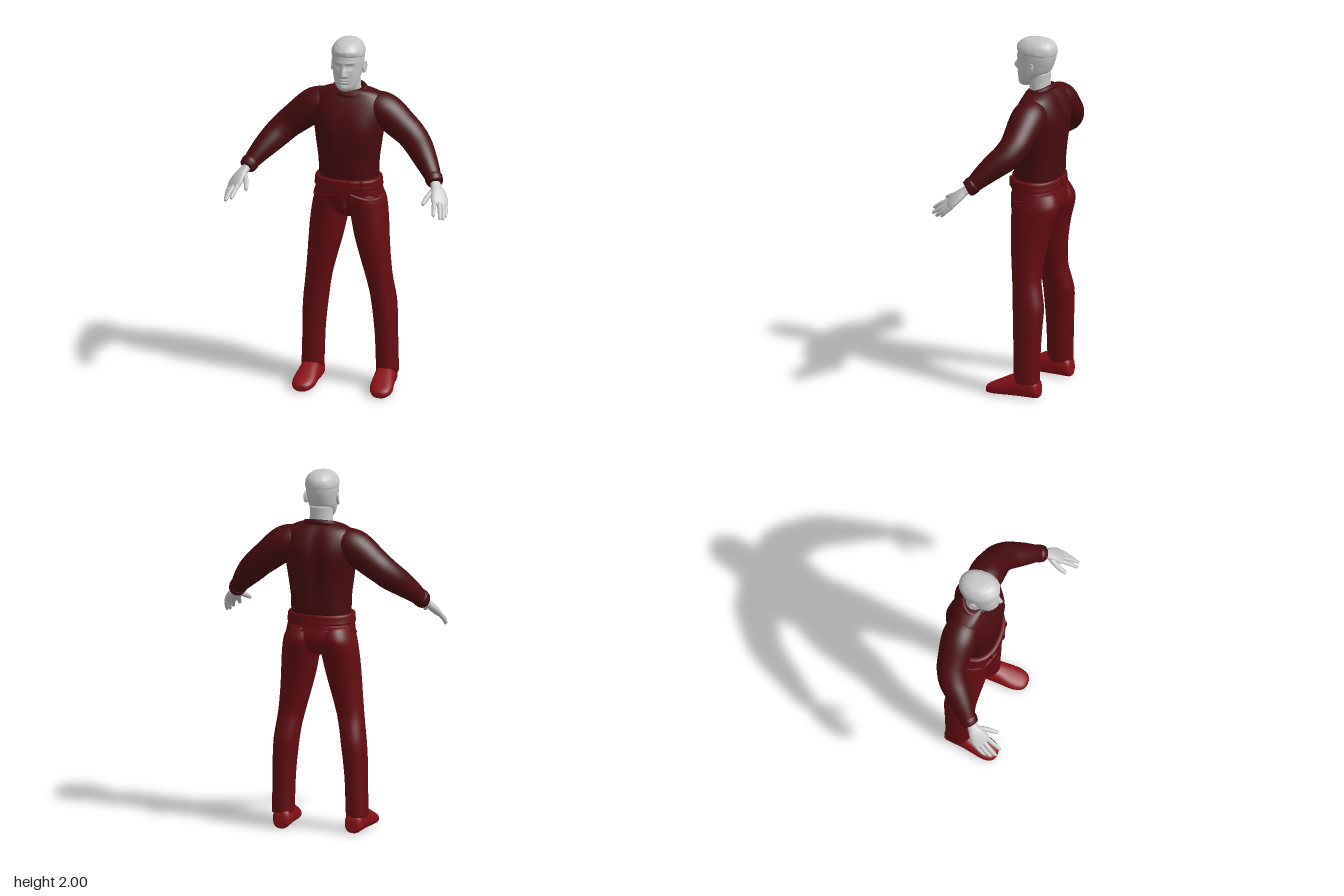
import * as THREE from 'three';

const V = (x, y, z) => new THREE.Vector3(x, y, z);
const X = V(1, 0, 0), Y = V(0, 1, 0), Z = V(0, 0, 1);

const material = (name, color) => {
  const m = new THREE.MeshStandardMaterial({ color });
  m.name = name;
  return m;
};

// Catmull-Rom interpolation of every column in a list of rows
function refine(rows, k) {
  const out = [];
  for (let i = 0; i < rows.length - 1; i++) {
    const a = rows[Math.max(i - 1, 0)], b = rows[i], c = rows[i + 1], d = rows[Math.min(i + 2, rows.length - 1)];
    for (let j = 0; j < k; j++) {
      const t = j / k;
      out.push(b.map((_, n) => b[n] + 0.5 * t * (c[n] - a[n]
        + t * (2 * a[n] - 5 * b[n] + 4 * c[n] - d[n] + t * (3 * (b[n] - c[n]) + d[n] - a[n])))));
    }
  }
  out.push(rows[rows.length - 1]);
  return out;
}

// Closed skin through rings [x, y, z, radiusU, radiusV]; w fixes the ring normal, else it follows the path
function loft(rows, { w = null, u = X, n = 32, k = 4, p = 2, warp = null } = {}) {
  const r = refine(rows, k);
  const first = r[0], last = r[r.length - 1];
  const rings = [[...first.slice(0, 3), 0, 0], ...r, [...last.slice(0, 3), 0, 0]];
  const pos = [], idx = [];
  const pow = (t) => Math.sign(t) * Math.abs(t) ** (2 / p);
  rings.forEach((q, i) => {
    const m = Math.min(Math.max(i - 1, 0), r.length - 1);
    const a = r[Math.max(m - 1, 0)], b = r[Math.min(m + 1, r.length - 1)];
    const dir = w ? w.clone() : V(b[0] - a[0], b[1] - a[1], b[2] - a[2]).normalize();
    const uu = u.clone().addScaledVector(dir, -u.dot(dir)).normalize();
    const vv = dir.clone().cross(uu);
    for (let j = 0; j < n; j++) {
      const t = j / n * Math.PI * 2;
      const pt = V(q[0], q[1], q[2]).addScaledVector(uu, q[3] * pow(Math.cos(t))).addScaledVector(vv, q[4] * pow(Math.sin(t)));
      if (warp) warp(pt);
      pos.push(pt.x, pt.y, pt.z);
      if (i < rings.length - 1) {
        const c = i * n + j, d = i * n + (j + 1) % n;
        idx.push(c, d, d + n, c, d + n, c + n);
      }
    }
  });
  const g = new THREE.BufferGeometry();
  g.setAttribute('position', new THREE.Float32BufferAttribute(pos, 3));
  g.setIndex(idx);
  g.computeVertexNormals();
  return g;
}

// Level rings given as [y, centreX, halfWidth, frontZ, backZ], bottom to top
const level = (rows, opts = {}, s = 1) =>
  loft(rows.map(([y, x, rx, f, b]) => [s * x, y, (f + b) / 2, rx, (f - b) / 2]), { w: Y, ...opts });

const bump = (x, y, sx, sy) => Math.exp(-((x / sx) ** 2) - (y / sy) ** 2);

// Facial relief: nose, sockets, eyes, brow, lips, chin
function shapeFace(p) {
  if (p.z < -0.06) return;
  const x = Math.abs(p.x), y = p.y;
  const front = Math.min(1, (p.z + 0.06) / 0.05);
  const noseLine = y > 1.822 ? Math.exp(-(((y - 1.822) / 0.036) ** 2)) : Math.exp(-(((y - 1.822) / 0.011) ** 2));
  p.z += front * (0.029 * noseLine * Math.exp(-((x / 0.012) ** 2))
    + 0.007 * bump(x - 0.014, y - 1.818, 0.008, 0.009)
    - 0.014 * bump(x - 0.034, y - 1.868, 0.018, 0.013)
    + 0.007 * bump(x - 0.034, y - 1.866, 0.01, 0.006)
    + 0.005 * bump(x - 0.03, y - 1.89, 0.03, 0.008)
    + 0.008 * bump(x, y - 1.792, 0.022, 0.005)
    + 0.007 * bump(x, y - 1.778, 0.019, 0.005)
    - 0.005 * bump(x, y - 1.785, 0.026, 0.003)
    - 0.004 * bump(x, y - 1.765, 0.03, 0.006)
    + 0.006 * bump(x, y - 1.745, 0.02, 0.012));
}

export function createModel() {
  const model = new THREE.Group();
  model.name = 'standingMan';
  const skin = material('paleGrey', 0xc6c6c6);
  const shirt = material('darkMaroon', 0x480b0e);
  const cloth = material('maroon', 0x640d10);
  const leather = material('red', 0x8a1217);
  const add = (name, geometry, mat) => {
    const m = new THREE.Mesh(geometry, mat);
    m.name = name;
    model.add(m);
    return m;
  };

  // Head, neck and hair
  add('neck', level([[1.64, 0, 0.075, -0.06, -0.185], [1.7, 0, 0.067, -0.06, -0.172],
    [1.75, 0, 0.064, -0.05, -0.168], [1.81, 0, 0.062, -0.05, -0.17]]), skin);
  add('head', level([[1.722, 0, 0.022, -0.005, -0.045], [1.732, 0, 0.04, 0.006, -0.07], [1.752, 0, 0.057, 0.012, -0.1],
    [1.78, 0, 0.069, 0.014, -0.135], [1.815, 0, 0.078, 0.016, -0.17], [1.85, 0, 0.083, 0.017, -0.187],
    [1.89, 0, 0.087, 0.017, -0.2], [1.93, 0, 0.086, 0.012, -0.203], [1.962, 0, 0.075, -0.005, -0.192],
    [1.982, 0, 0.056, -0.03, -0.165], [1.992, 0, 0.025, -0.06, -0.13]],
  { n: 96, k: 9, p: 2.15, warp: shapeFace }), skin);
  add('hair', level([[1.915, 0, 0.088, 0.012, -0.206], [1.925, 0, 0.091, 0.019, -0.208], [1.945, 0, 0.088, 0.02, -0.207],
    [1.968, 0, 0.077, 0.006, -0.197], [1.988, 0, 0.056, -0.022, -0.17], [1.997, 0, 0.022, -0.06, -0.13]],
  { n: 64, k: 5, p: 2.15, warp: (p) => {
    p.y += (p.z > -0.04 ? 0.12 : 0.0) * (p.z + 0.04) * (p.y < 1.95 ? 1 : 0.2);
    const f = 1 + 0.012 * Math.sin(p.x * 170 + p.y * 90) * Math.sin(p.z * 150);
    p.x *= f;
    p.z = -0.095 + (p.z + 0.095) * f;
  } }), skin);

  // Shirt body with a shallow spine groove, and a rolled collar
  add('shirtBody', level([[1.17, 0, 0.158, 0.005, -0.225], [1.23, 0, 0.164, 0.016, -0.235], [1.31, 0, 0.167, 0.02, -0.238],
    [1.4, 0, 0.179, 0.024, -0.245], [1.5, 0, 0.193, 0.02, -0.255], [1.58, 0, 0.202, 0.004, -0.253],
    [1.64, 0, 0.2, -0.02, -0.237], [1.68, 0, 0.178, -0.042, -0.215], [1.703, 0, 0.135, -0.053, -0.192],
    [1.714, 0, 0.09, -0.065, -0.175]],
  { n: 64, p: 2.4, warp: (p) => {
    if (p.z < -0.15) p.z += 0.014 * bump(p.x, p.y - 1.5, 0.03, 0.2) - 0.008 * bump(Math.abs(p.x) - 0.085, p.y - 1.56, 0.05, 0.08);
    else if (p.z > -0.05) p.z += 0.008 * bump(Math.abs(p.x) - 0.08, p.y - 1.5, 0.06, 0.07);
  } }), shirt);
  const collar = [];
  for (let i = 0; i < 16; i++) {
    const t = i / 16 * Math.PI * 2;
    collar.push(V(0.088 * Math.cos(t), 1.705 - 0.021 * Math.sin(t), -0.115 + 0.064 * Math.sin(t)));
  }
  add('collar', new THREE.TubeGeometry(new THREE.CatmullRomCurve3(collar, true), 64, 0.015, 10, true), shirt);

  // Trouser seat, waistband and front fly
  add('trouserSeat', level([[0.985, 0, 0.05, -0.06, -0.18], [1.01, 0, 0.12, -0.025, -0.225], [1.05, 0, 0.185, 0.0, -0.25],
    [1.09, 0, 0.193, 0.015, -0.258], [1.14, 0, 0.186, 0.024, -0.247], [1.19, 0, 0.176, 0.024, -0.235]],
  { n: 48, p: 2.3 }), cloth);
  add('waistband', level([[1.158, 0, 0.178, 0.02, -0.235], [1.164, 0, 0.188, 0.034, -0.245], [1.185, 0, 0.186, 0.034, -0.243],
    [1.21, 0, 0.183, 0.034, -0.241], [1.217, 0, 0.172, 0.022, -0.23]], { n: 64, p: 2.3 }), cloth);
  add('fly', new THREE.CapsuleGeometry(0.014, 0.09, 4, 10).translate(0, 1.1, 0.009), cloth);
  for (const [x, z] of [[-0.03, 0.034], [0.03, 0.034], [-0.1, 0.018], [0.1, 0.018], [0, -0.243]])
    add('beltLoop', new THREE.BoxGeometry(0.014, 0.054, 0.012).translate(x, 1.188, z), cloth);

  for (const s of [1, -1]) {
    const side = s > 0 ? 'left' : 'right';
    const flip = (rows) => rows.map(([x, ...rest]) => [s * x, ...rest]);

    // Trouser legs and pocket seams
    add(side + 'TrouserLeg', level([[0.085, 0.21, 0.058, -0.065, -0.2], [0.1, 0.21, 0.061, -0.06, -0.205],
      [0.2, 0.207, 0.061, -0.058, -0.207], [0.3, 0.204, 0.062, -0.055, -0.21], [0.4, 0.199, 0.066, -0.05, -0.215],
      [0.5, 0.19, 0.069, -0.045, -0.22], [0.57, 0.18, 0.07, -0.04, -0.208], [0.65, 0.166, 0.074, -0.032, -0.192],
      [0.75, 0.148, 0.083, -0.02, -0.197], [0.85, 0.131, 0.093, -0.009, -0.212], [0.95, 0.117, 0.1, -0.003, -0.235],
      [1.04, 0.105, 0.101, 0.002, -0.262], [1.09, 0.1, 0.094, 0.008, -0.266], [1.15, 0.09, 0.08, 0.0, -0.24]],
    { n: 40, p: 2.15 }, s), cloth);
    const seam = (pts, r) => new THREE.TubeGeometry(new THREE.CatmullRomCurve3(pts.map(([x, y, z]) => V(s * x, y, z))), 24, r, 6);
    add(side + 'FrontPocket', seam([[0.04, 1.135, 0.022], [0.09, 1.115, 0.012], [0.14, 1.1, -0.015], [0.178, 1.1, -0.06], [0.19, 1.11, -0.12]], 0.009), cloth);
    add(side + 'BackPocket', seam([[0.06, 1.13, -0.245], [0.11, 1.125, -0.236], [0.15, 1.12, -0.21]], 0.007), cloth);

    // Shoe, turned slightly outward, with a flat sole
    const shoe = [[0.203, 0.04, -0.208, 0.028, 0.03], [0.204, 0.052, -0.195, 0.046, 0.052], [0.206, 0.062, -0.15, 0.053, 0.062],
      [0.209, 0.066, -0.09, 0.056, 0.066], [0.213, 0.056, -0.035, 0.06, 0.056], [0.217, 0.042, 0.02, 0.064, 0.042],
      [0.22, 0.032, 0.06, 0.058, 0.032], [0.221, 0.025, 0.088, 0.042, 0.024], [0.221, 0.022, 0.1, 0.02, 0.014]];
    add(side + 'Shoe', loft(flip(shoe), { w: Z, p: 2.4, warp: (p) => { p.y = Math.max(p.y, 0); } }), leather);

    // Sleeve and cuff
    add(side + 'Sleeve', loft(flip([[0.1, 1.61, -0.13, 0.075, 0.07], [0.15, 1.605, -0.132, 0.092, 0.09], [0.21, 1.58, -0.132, 0.097, 0.096],
      [0.3, 1.507, -0.126, 0.088, 0.086], [0.345, 1.47, -0.118, 0.083, 0.081], [0.39, 1.427, -0.092, 0.079, 0.077],
      [0.43, 1.387, -0.05, 0.071, 0.07], [0.475, 1.337, 0.0, 0.059, 0.058], [0.525, 1.275, 0.055, 0.042, 0.041]]),
    { u: Z }), shirt);
    add(side + 'Cuff', loft(flip([[0.51, 1.294, 0.038, 0.042, 0.041], [0.515, 1.288, 0.045, 0.05, 0.049],
      [0.53, 1.267, 0.064, 0.046, 0.045], [0.534, 1.262, 0.07, 0.036, 0.035]]), { u: Z, k: 3 }), shirt);

    // Palm, wide between index and little finger
    add(side + 'Palm', loft(flip([[0.52, 1.28, 0.05, 0.028, 0.024], [0.54, 1.253, 0.083, 0.03, 0.021], [0.558, 1.228, 0.11, 0.042, 0.022],
      [0.573, 1.2, 0.138, 0.05, 0.019], [0.582, 1.178, 0.16, 0.047, 0.014], [0.584, 1.172, 0.166, 0.03, 0.008]]),
    { u: V(s * 0.065, -0.015, -0.05).normalize(), n: 24, p: 2.3 }), skin);

    // Fingers: knuckle, middle joint, tip
    const fingers = {
      Thumb: [[0.535, 1.235, 0.105], [0.511, 1.212, 0.158], [0.497, 1.185, 0.215]],
      Index: [[0.551, 1.198, 0.163], [0.562, 1.17, 0.215], [0.57, 1.14, 0.258]],
      Middle: [[0.573, 1.19, 0.155], [0.593, 1.155, 0.205], [0.604, 1.122, 0.248]],
      Ring: [[0.591, 1.186, 0.14], [0.608, 1.145, 0.185], [0.614, 1.112, 0.222]],
      Little: [[0.606, 1.183, 0.12], [0.617, 1.147, 0.158], [0.62, 1.115, 0.188]],
    };
    for (const [name, [a, b, c]] of Object.entries(fingers)) {
      const r = name === 'Thumb' ? 0.0145 : name === 'Little' ? 0.0105 : 0.012;
      const near = c.map((v, i) => v + (b[i] - v) * 0.15);
      add(side + name + 'Finger', loft(flip([[...a, r * 1.1, r * 1.1], [...b, r, r], [...near, r * 0.75, r * 0.75], [...c, r * 0.3, r * 0.3]]),
        { n: 12, k: 3 }), skin);
    }

    // Ear
    const ear = add(side + 'Ear', new THREE.SphereGeometry(1, 16, 12).scale(0.009, 0.031, 0.018), skin);
    ear.position.set(s * 0.087, 1.842, -0.095);
    ear.rotation.set(-0.2, s * -0.3, 0);
    const rim = add(side + 'EarRim', new THREE.TorusGeometry(0.016, 0.0045, 8, 20).scale(1, 1.65, 1).rotateY(Math.PI / 2), skin);
    rim.position.set(s * 0.092, 1.844, -0.097);
    rim.rotation.copy(ear.rotation);
  }
  return model;
}
